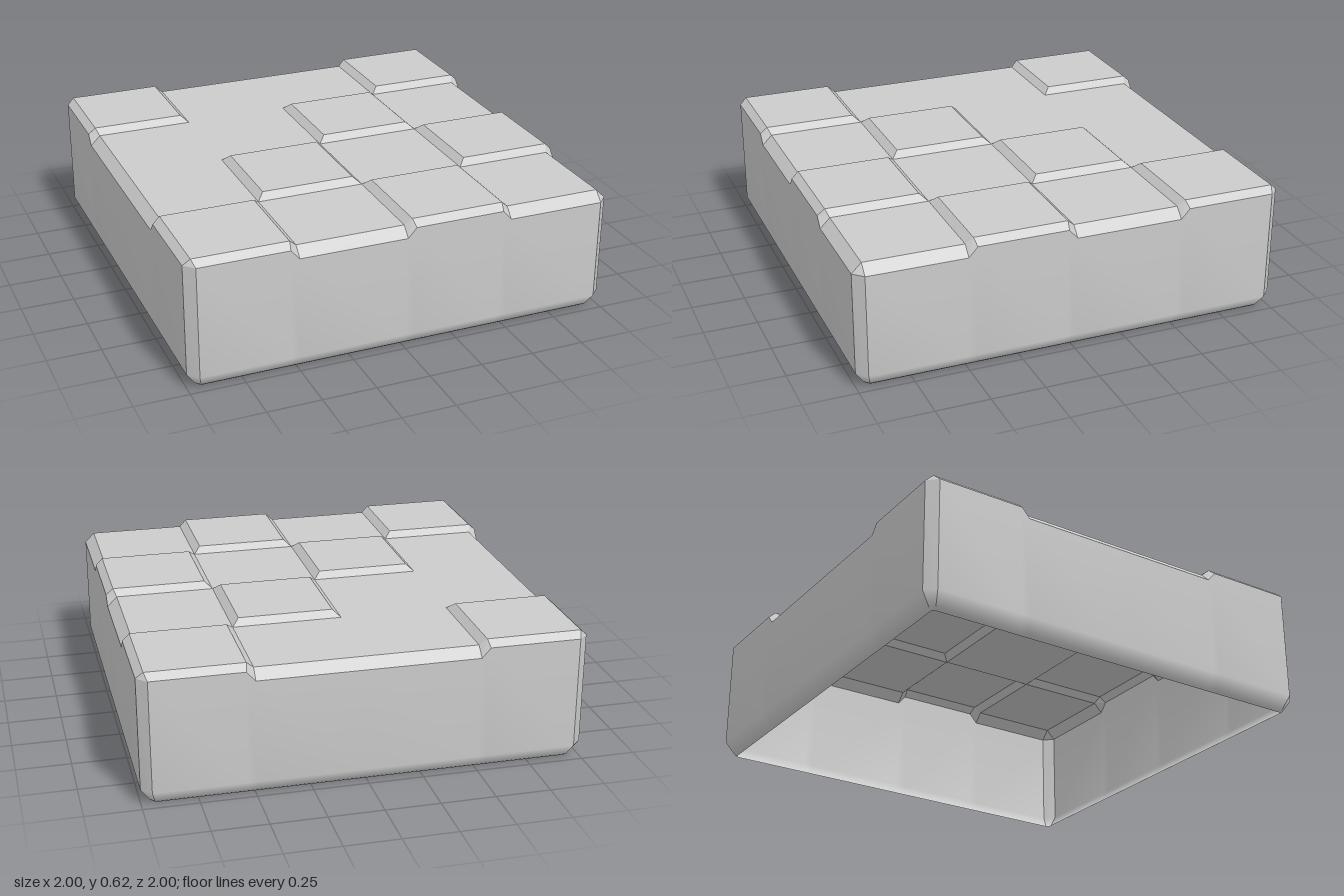
import * as THREE from 'three';

const HIGH = 0.62, LOW = 0.59, LOW_EDGE = 0.545; // raised top, lower top, wall top below lower tiles
const BEVEL = 0.045, INSET = 0.033, END = 1 - BEVEL;

// raised tiles, rows from back to front, columns along +x
const RAISED = ['X..X', '..X.', '.X.X', 'X.X.'];
const isRaised = (x, z) => RAISED[Math.floor((z + 1) * 2)][Math.floor((x + 1) * 2)] === 'X';
const clamp = v => Math.max(-END, Math.min(END, v));

const material = new THREE.MeshStandardMaterial({ color: 0xcccccc, side: THREE.DoubleSide });

function makeMesh(name, positions, index) {
  const geometry = new THREE.BufferGeometry();
  geometry.setAttribute('position', new THREE.Float32BufferAttribute(positions, 3));
  if (index) geometry.setIndex(index);
  geometry.computeVertexNormals();
  const mesh = new THREE.Mesh(geometry, material);
  mesh.name = name;
  return mesh;
}

// append a convex polygon as a fan of flat triangles
function addFace(out, ...p) {
  for (let i = 1; i < p.length - 1; i++) out.push(...p[0], ...p[i], ...p[i + 1]);
}

// point on side k (0 front, 1 +x, 2 back, 3 -x): u along the side, d outward
function onSide(k, u, y, d) {
  let x = u, z = d;
  for (let i = 0; i < k; i++) [x, z] = [z, -x];
  return [x, y, z];
}

// points along the top edge of a side: wall point and tile point
function edgePoints(k) {
  const points = [];
  for (let c = 0; c < 4; c++) {
    const [mx, , mz] = onSide(k, -0.75 + c * 0.5, 0, 0.75);
    const raised = isRaised(mx, mz);
    for (const s of [0, 1]) {
      const border = -1 + (c + s) * 0.5, inward = s ? -1 : 1;
      const wallU = clamp(border + (raised ? inward * 0.04 : 0));
      const u = Math.abs(border) === 1 ? Math.sign(border) * END : wallU;
      if (points.length && points.at(-1).u === u) continue;
      const y = raised ? LOW : LOW_EDGE;
      const tile = raised
        ? onSide(k, border + inward * INSET, HIGH, 1 - INSET)
        : onSide(k, clamp(border), LOW, END);
      points.push({ u, y, wall: onSide(k, u, y, 1), tile });
    }
  }
  return points;
}

// wall strip: vertices shared down each column, so the lower edge shades round
function wallStrip(name, columns) {
  const positions = [], index = [], n = columns[0].length;
  columns.forEach((column, i) => {
    column.forEach(p => positions.push(...p));
    if (!i) return;
    for (let j = 0; j < n - 1; j++) {
      const a = (i - 1) * n + j, b = i * n + j;
      index.push(a, a + 1, b + 1, a, b + 1, b);
    }
  });
  return makeMesh(name, positions, index);
}

export function createModel() {
  const model = new THREE.Group();
  model.name = 'tiledBlock';

  // top tiles: flat lower cells, bevelled raised cells
  const lower = [], raised = [];
  for (let row = 0; row < 4; row++) {
    for (let col = 0; col < 4; col++) {
      const x0 = -1 + col * 0.5, x1 = x0 + 0.5, z0 = -1 + row * 0.5, z1 = z0 + 0.5;
      const corners = [[x0, z1], [x1, z1], [x1, z0], [x0, z0]];
      const base = corners.map(([x, z]) => [clamp(x), LOW, clamp(z)]);
      if (!isRaised(x0 + 0.25, z0 + 0.25)) {
        addFace(lower, ...base);
        continue;
      }
      const top = corners.map(([x, z]) => [
        x + (x === x0 ? INSET : -INSET), HIGH, z + (z === z0 ? INSET : -INSET)]);
      addFace(raised, ...top);
      const outer = [row === 3, col === 3, row === 0, col === 0];
      for (let i = 0; i < 4; i++) {
        const j = (i + 1) % 4;
        if (!outer[i]) addFace(raised, base[i], base[j], top[j], top[i]);
      }
    }
  }
  model.add(makeMesh('lowerTiles', lower), makeMesh('raisedTiles', raised));

  // bevelled rim stepping up and down with the tiles
  const rim = [], edges = [0, 1, 2, 3].map(edgePoints);
  edges.forEach((edge, k) => {
    for (let i = 1; i < edge.length; i++) {
      const a = edge[i - 1], b = edge[i];
      addFace(rim, a.wall, b.wall, b.tile, a.tile);
    }
    const last = edge.at(-1);
    addFace(rim, last.wall, edges[(k + 1) % 4][0].wall, last.tile);
  });
  model.add(makeMesh('topRim', rim));

  // side walls and corner bevels, open underneath
  const lowerRings = [[0.07, 0], [0.012, 0.04], [0, 0.055]]; // height, inset
  const column = (k, p) => [p.wall, ...lowerRings.map(([y, d]) =>
    onSide(k, p.u * (1 - d * 0.4 / END), y, 1 - d))];
  edges.forEach((edge, k) => {
    const next = (k + 1) % 4;
    model.add(wallStrip('sideWall', edge.map(p => column(k, p))));
    model.add(wallStrip('cornerBevel', [column(k, edge.at(-1)), column(next, edges[next][0])]));
  });
  return model;
}
